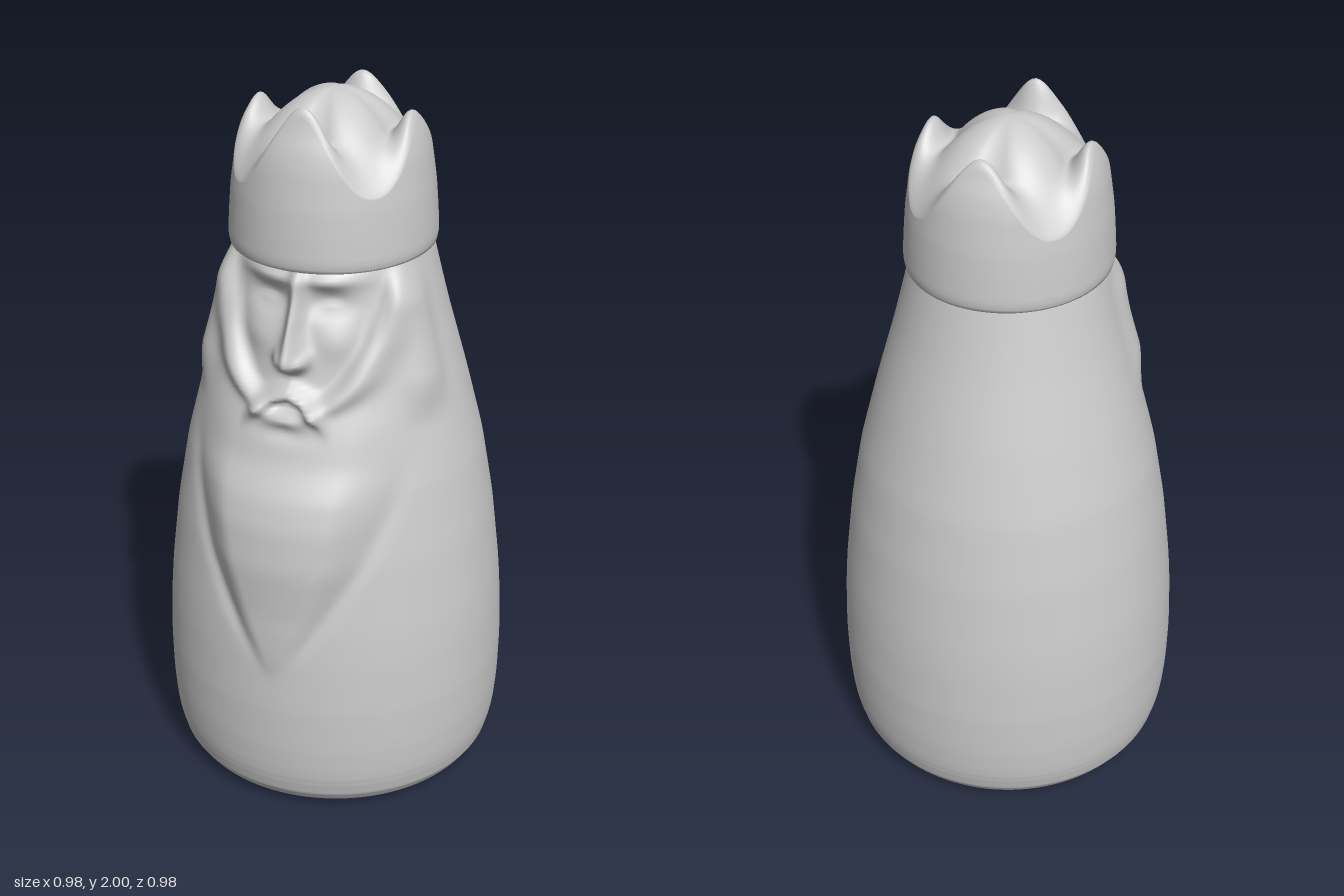
import * as THREE from 'three';

const { smoothstep, lerp } = THREE.MathUtils;
const material = new THREE.MeshStandardMaterial({ color: 0xcccccc });

// Linear lookup in a list of [key, value] pairs with softened corners
function curve(points) {
  const line = (t) => {
    if (t <= points[0][0]) return points[0][1];
    for (let i = 1; i < points.length; i++) {
      const [a, va] = points[i - 1], [b, vb] = points[i];
      if (t <= b) return lerp(va, vb, (t - a) / (b - a));
    }
    return points[points.length - 1][1];
  };
  return (t, soft = 0) => (soft ? (line(t - soft) + 2 * line(t) + line(t + soft)) / 4 : line(t));
}

const bump = (x, y, cx, cy, sx, sy) => Math.exp(-(((x - cx) / sx) ** 2) - ((y - cy) / sy) ** 2);

// Closed rings of points joined into one smooth skin
function loft(name, rows, segs, point) {
  const pos = [], index = [];
  for (let i = 0; i <= rows; i++) {
    for (let j = 0; j < segs; j++) {
      const u = (j / segs) * Math.PI * 2;
      pos.push(...point(i / rows, u - 0.5 * Math.sin(u), u));
    }
  }
  for (let i = 0; i < rows; i++) {
    for (let j = 0; j < segs; j++) {
      const k = (j + 1) % segs;
      const a = i * segs + j, b = i * segs + k;
      index.push(a, b, b + segs, a, b + segs, a + segs);
    }
  }
  const geo = new THREE.BufferGeometry();
  geo.setAttribute('position', new THREE.Float32BufferAttribute(pos, 3));
  geo.setIndex(index);
  geo.computeVertexNormals();
  const mesh = new THREE.Mesh(geo, material);
  mesh.name = name;
  return mesh;
}

// Robe radius, beard fullness and outlines by height
const robe = curve([[0, 0.39], [0.012, 0.42], [0.03, 0.443], [0.06, 0.463], [0.12, 0.479], [0.22, 0.487],
  [0.35, 0.489], [0.5, 0.483], [0.6, 0.475], [0.8, 0.451], [1, 0.416], [1.2, 0.365], [1.4, 0.309],
  [1.5, 0.284], [1.58, 0.265], [1.64, 0.25]]);
const beardDepth = curve([[0.46, 0], [0.52, 0.008], [0.65, 0.02], [0.8, 0.044], [0.92, 0.052],
  [1.0, 0.043], [1.08, 0.018], [1.16, 0.012], [1.24, 0]]);
const beardWidth = curve([[0.46, 0], [0.6, 0.09], [0.8, 0.2], [0.95, 0.255], [1.2, 0.3]]);
const faceWidth = curve([[1.2, 0], [1.25, 0.09], [1.3, 0.14], [1.4, 0.185], [1.5, 0.205], [1.64, 0.21]]);
const noseHeight = curve([[1.31, 0], [1.345, 0.07], [1.365, 0.078], [1.43, 0.06], [1.52, 0.035], [1.58, 0.02]]);

// Carves face, hair and beard into the front of the robe
function sculpt(x, y, z) {
  const ax = Math.abs(x);
  // beard
  const bw = beardWidth(y, 0.03);
  z += beardDepth(y, 0.02) * (1 - smoothstep(ax, bw * 0.55, bw + 0.03));
  z -= 0.008 * Math.exp(-(((ax - bw - 0.02) / 0.03) ** 2)) * smoothstep(y, 0.48, 0.65) * (1 - smoothstep(y, 0.95, 1.15));
  // hair locks beside the face
  const fw = faceWidth(y, 0.02);
  const lock = smoothstep(y, 1.14, 1.32);
  z += 0.03 * lock * Math.exp(-(((ax - fw - 0.045) / 0.04) ** 2));
  // sunken face
  const inFace = (1 - smoothstep(ax, fw - 0.035, fw + 0.015)) * smoothstep(y, 1.21, 1.29);
  let f = 0.277 + (1.5 - y) * 0.23 - 2.1 * x * x;
  f -= 0.026 * bump(ax, y, 0.08, 1.495, 0.055, 0.032);
  f += 0.01 * bump(ax, y, 0.085, 1.488, 0.03, 0.014);
  f += 0.022 * bump(ax, y, 0.08, 1.56, 0.08, 0.022);
  f += 0.012 * bump(ax, y, 0.11, 1.4, 0.05, 0.045);
  z = lerp(z, f, inFace);
  // nose
  const nw = lerp(0.034, 0.02, smoothstep(y, 1.35, 1.45));
  z += noseHeight(y, 0.008) * Math.exp(-((ax / nw) ** 2));
  z += 0.025 * bump(ax, y, 0.036, 1.355, 0.016, 0.018);
  // moustache, mouth and lower lip
  const sag = 1.268 - 3.5 * x * x - 0.25 * ax;
  z += 0.034 * Math.exp(-(((y - sag) / 0.024) ** 2)) * (1 - smoothstep(ax, 0.07, 0.135));
  z -= 0.026 * bump(x, y, 0, 1.232, 0.04, 0.01);
  z += 0.018 * bump(x, y, 0, 1.205, 0.045, 0.018);
  z -= 0.008 * bump(x, y, 0, 1.165, 0.07, 0.018);
  return z;
}

function bodyPoint(t, a) {
  if (t === 0) return [0, 0, 0];
  const y = 1.64 * Math.max(0, (t - 0.005) / 0.995) ** 1.3;
  const r = robe(y, y > 0.1 ? 0.03 : 0);
  const front = Math.max(0, Math.cos(a));
  // locks swell sideways at the temples
  const side = 0.028 * Math.exp(-(((Math.abs(Math.sin(a)) - 0.88) / 0.1) ** 2))
    * smoothstep(front, 0.1, 0.35) * smoothstep(y, 1.15, 1.3) * (1 - smoothstep(y, 1.48, 1.6));
  const x = (r + side) * Math.sin(a);
  const z = (r + side) * Math.cos(a);
  return [x, y, lerp(z, sculpt(x, y, z), smoothstep(front, 0.1, 0.45))];
}

// Crown: rolled band, four points and a domed cap inside
const taper = curve([[1.58, 0.97], [1.61, 1], [1.68, 0.985], [1.75, 0.965], [1.85, 0.915], [1.9, 0.87],
  [1.94, 0.81], [1.985, 0.76]]);

function crownPoint(t, _, a) {
  const c = Math.cos(a), s = Math.sin(a);
  const peak = 1.94 * s * s + (c > 0 ? 1.988 : 1.965) * c * c;
  const valley = 1.785;
  const rim = valley + (peak - valley) * (0.5 + 0.5 * Math.cos(4 * a)) ** 1.1;
  let k, y;
  if (t < 0.1) {
    k = lerp(0.75, 0.97, t / 0.1);
    y = 1.592;
  } else if (t < 0.55) {
    y = lerp(1.594, rim, (t - 0.1) / 0.45);
    k = taper(y, 0.015);
  } else {
    const f = 1 - (t - 0.55) / 0.45;
    k = taper(rim, 0.015) * f;
    y = 2 - 0.215 * f * f + (rim - valley) * smoothstep(f, 0.66, 0.98);
  }
  return [0.28 * k * s, y, 0.015 + 0.295 * k * c];
}

export function createModel() {
  const model = new THREE.Group();
  model.name = 'crownedChessKing';
  model.add(loft('robedBody', 200, 180, bodyPoint));
  model.add(loft('crown', 80, 128, crownPoint));
  return model;
}
